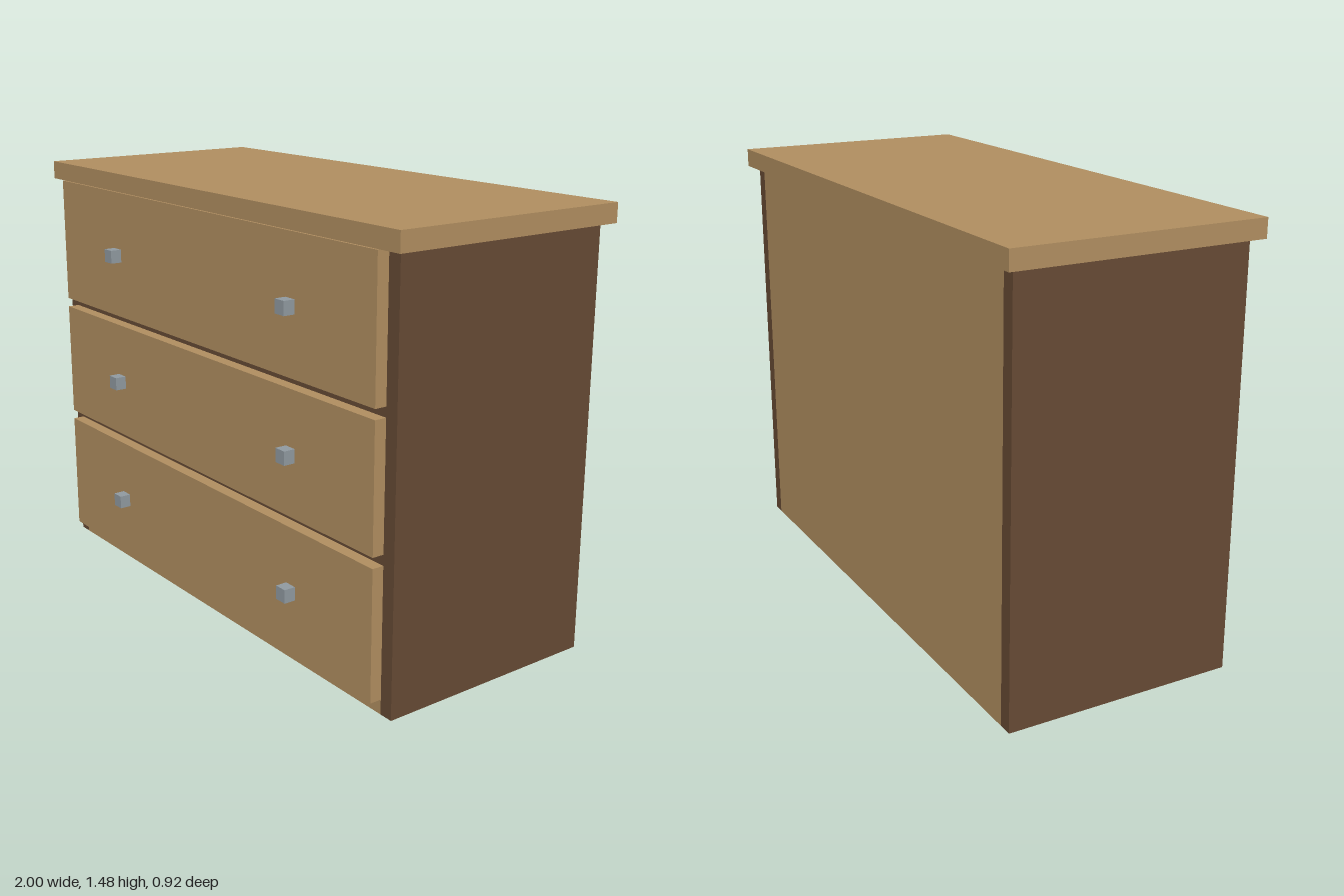
import * as THREE from 'three';

export function createModel() {
  const group = new THREE.Group();
  const material = (name, color) => {
    const m = new THREE.MeshStandardMaterial({ color });
    m.name = name;
    return m;
  };
  const lightWood = material('light wood', 0xb08e60);
  const darkWood = material('dark wood', 0x664a34);
  const metal = material('grey metal', 0x909aa0);

  // Box given by its extents along each axis
  const box = (name, mat, [x0, x1], [y0, y1], [z0, z1]) => {
    const mesh = new THREE.Mesh(new THREE.BoxGeometry(x1 - x0, y1 - y0, z1 - z0), mat);
    mesh.position.set((x0 + x1) / 2, (y0 + y1) / 2, (z0 + z1) / 2);
    mesh.name = name;
    group.add(mesh);
  };

  const inner = 0.917, outer = 0.965, back = -0.424, front = 0.378, height = 1.42;
  const width = [-inner, inner];

  // Carcass: overhanging top, side panels, back and base
  box('top', lightWood, [-1, 1], [height, 1.484], [-0.457, 0.411]);
  box('leftSide', darkWood, [inner, outer], [0, height], [back, front]);
  box('rightSide', darkWood, [-outer, -inner], [0, height], [back, front]);
  box('backPanel', lightWood, width, [0.05, height], [back, back + 0.04]);
  box('base', lightWood, width, [0, 0.05], [back, front]);

  // Rails between the drawers
  for (const [y0, y1] of [[0.485, 0.52], [0.937, 0.97]]) {
    box('rail', darkWood, width, [y0, y1], [back + 0.04, front]);
  }

  // Drawer fronts, each with two square knobs
  const drawers = [
    { y: [0.05, 0.485], knob: 0.268 },
    { y: [0.52, 0.937], knob: 0.727 },
    { y: [0.97, height], knob: 1.195 },
  ];
  for (const { y, knob } of drawers) {
    box('drawerFront', lightWood, width, y, [front, 0.419]);
    for (const x of [-0.517, 0.517]) {
      box('knob', metal, [x - 0.023, x + 0.023], [knob - 0.023, knob + 0.023], [0.419, 0.459]);
    }
  }
  return group;
}
